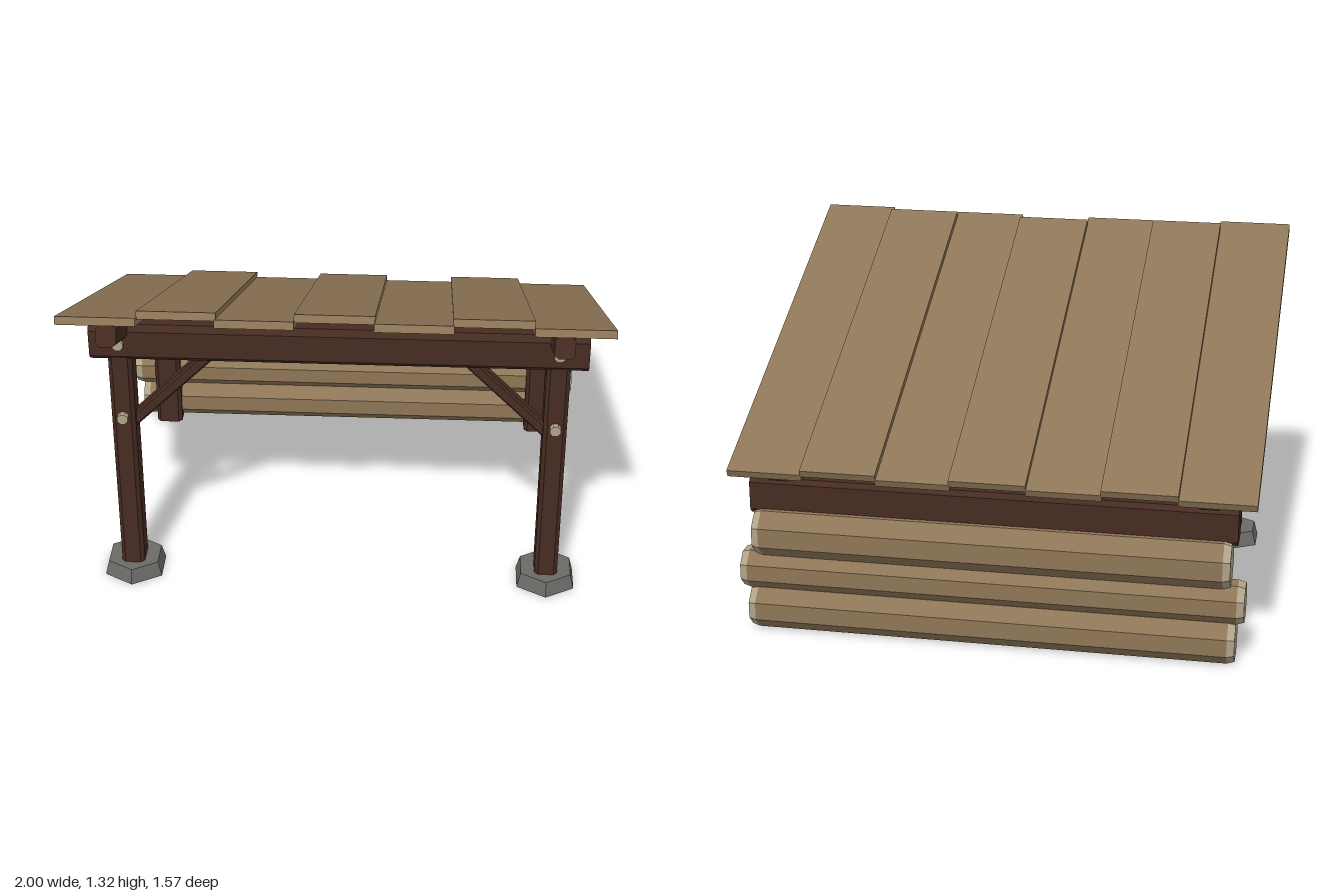
import * as THREE from 'three';

const material = (name, color) => {
  const m = new THREE.MeshStandardMaterial({ color });
  m.name = name;
  return m;
};

export function createModel() {
  const model = new THREE.Group();
  model.name = 'leanToShelter';
  const plankWood = material('plankWood', 0x8e7657);
  const darkWood = material('darkTimber', 0x452b21);
  const cutWood = material('cutWood', 0xb0a489);
  const stone = material('stone', 0x6b6a67);

  const add = (parent, name, geometry, mat, x, y, z) => {
    const mesh = new THREE.Mesh(geometry, mat);
    mesh.name = name;
    mesh.position.set(x, y, z);
    parent.add(mesh);
    return mesh;
  };

  // Timber with chamfered long edges, running along z
  const timber = (w, h, length, c) => {
    const a = w / 2, b = h / 2;
    const shape = new THREE.Shape([
      [a - c, -b], [a, -b + c], [a, b - c], [a - c, b],
      [-a + c, b], [-a, b - c], [-a, -b + c], [-a + c, -b],
    ].map(([x, y]) => new THREE.Vector2(x, y)));
    return new THREE.ExtrudeGeometry(shape, { depth: length, bevelEnabled: false })
      .translate(0, 0, -length / 2);
  };

  // Faceted cylinder with flat normals, running along y
  const faceted = (top, bottom, height, sides, open = false, start = 0) => {
    const g = new THREE.CylinderGeometry(top, bottom, height, sides, 1, open, start).toNonIndexed();
    g.computeVertexNormals();
    return g;
  };

  // Horizontal beams
  add(model, 'frontBeam', timber(0.13, 0.15, 1.86, 0.022).rotateY(Math.PI / 2), darkWood, 0, 1.075, 0.48);
  add(model, 'backBeam', timber(0.125, 0.145, 1.86, 0.018).rotateY(Math.PI / 2), darkWood, 0, 0.538, -0.652);

  // Posts, footings, pegs and braces on both sides
  for (const side of [-1, 1]) {
    const x = side * 0.82;
    add(model, 'frontPost', timber(0.09, 0.115, 1.02, 0.015).rotateX(Math.PI / 2), darkWood, x, 0.55, 0.478);
    add(model, 'backPost', timber(0.11, 0.11, 0.5, 0.015).rotateX(Math.PI / 2), darkWood, x, 0.25, -0.647);
    add(model, 'footing', faceted(0.113, 0.13, 0.06, 6), stone, x, 0.03, 0.475);
    for (const y of [0.75, 1.075]) {
      add(model, 'peg', faceted(0.022, 0.022, 0.06, 8, false, Math.PI / 8).rotateX(Math.PI / 2), cutWood, x, y, 0.53);
    }
    const brace = add(model, 'brace', timber(0.046, 0.05, 0.47, 0.008).rotateX(Math.PI / 2),
      darkWood, side * 0.63, 0.865, 0.478);
    brace.rotation.z = side * Math.PI / 4;
  }

  // Stacked log wall with bevelled pale ends
  const logs = [
    { y: 0.085, z: -0.7, r: 0.083, half: 0.935 },
    { y: 0.24, z: -0.696, r: 0.077, half: 0.965 },
    { y: 0.395, z: -0.697, r: 0.092, half: 0.91 },
  ];
  const bevel = 0.028;
  for (const { y, z, r, half } of logs) {
    const log = new THREE.Group();
    log.name = 'wallLog';
    log.position.set(0, y, z);
    log.rotation.z = -Math.PI / 2;
    const R = r / Math.cos(Math.PI / 8);
    add(log, 'logBark', faceted(R, R, 2 * (half - bevel), 8, true, Math.PI / 8), plankWood, 0, 0, 0);
    for (const end of [-1, 1]) {
      const cap = faceted(end > 0 ? R * 0.9 : R, end > 0 ? R : R * 0.9, bevel, 8, false, Math.PI / 8);
      add(log, 'logEnd', cap, cutWood, 0, end * (half - bevel / 2), 0);
    }
    model.add(log);
  }

  // Sloping roof: local y = 0 is the underside of the lower planks
  const roof = new THREE.Group();
  roof.name = 'roof';
  roof.position.y = 0.953;
  roof.rotation.x = -0.408;
  model.add(roof);

  // Alternating lower and raised planks with uneven front ends
  const edges = [-1, -0.71, -0.43, -0.145, 0.14, 0.425, 0.71, 1];
  const fronts = [0.785, 0.738, 0.773, 0.723, 0.773, 0.738, 0.785];
  fronts.forEach((front, i) => {
    const raised = i % 2;
    const lift = raised ? 0.022 : 0;
    const near = (front + 0.397 * lift) / 0.918;
    const far = -0.821;
    const overlap = raised ? 0.006 : 0;
    const width = edges[i + 1] - edges[i] + overlap;
    add(roof, 'roofPlank', new THREE.BoxGeometry(width, 0.03, near - far), plankWood,
      (edges[i] + edges[i + 1]) / 2, lift + 0.015, (near + far) / 2);
  });

  // Rafters and the purlin between them
  for (const side of [-1, 1]) {
    add(roof, 'rafter', timber(0.075, 0.082, 1.605, 0.015), darkWood, side * 0.82, -0.041, 0.018);
  }
  add(roof, 'purlin', timber(0.045, 0.045, 1.6, 0.006).rotateY(Math.PI / 2), darkWood, 0, -0.0225, -0.447);

  return model;
}
